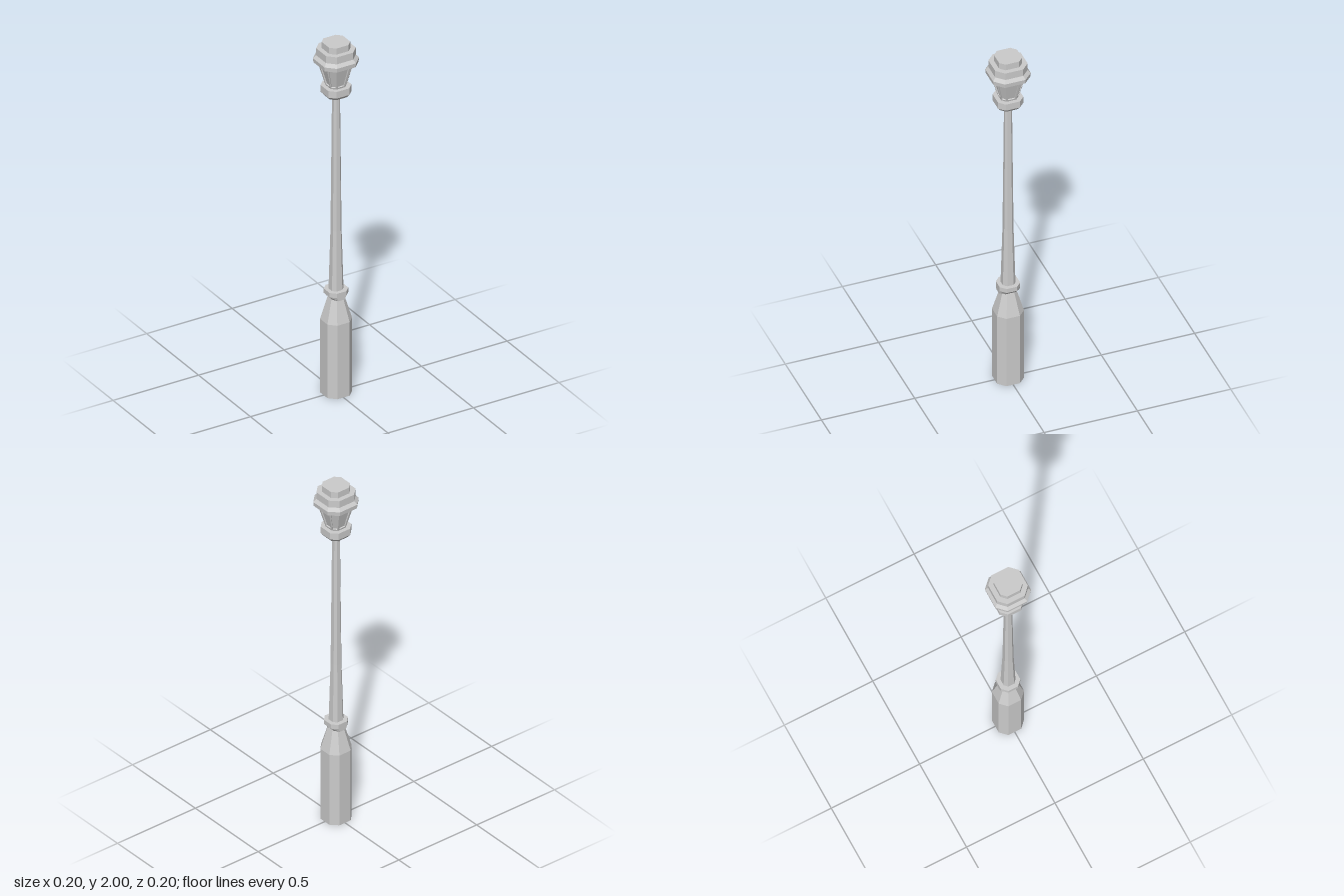
import * as THREE from 'three';

const material = new THREE.MeshStandardMaterial({ color: 0xcccccc, flatShading: true });

// Chamfered-square ring at height y: half widths wx / wz, c = flat share of each side
function ring([y, wx, wz = wx], c) {
  return [[1, -c], [1, c], [c, 1], [-c, 1], [-1, c], [-1, -c], [-c, -1], [c, -1]]
    .map(([x, z]) => new THREE.Vector3(x * wx, y, z * wz));
}

function quad(out, a, b, c, d) {
  out.push(a, d, c, a, c, b);
}

function meshFrom(points, name) {
  const geometry = new THREE.BufferGeometry().setFromPoints(points);
  geometry.computeVertexNormals();
  const mesh = new THREE.Mesh(geometry, material);
  mesh.name = name;
  return mesh;
}

// Closed eight-sided solid through a list of [y, halfX, halfZ] levels
function octSolid(name, levels, c) {
  const rings = levels.map((level) => ring(level, c));
  const out = [];
  for (let k = 0; k < rings.length - 1; k++) {
    for (let i = 0; i < 8; i++) {
      const j = (i + 1) % 8;
      quad(out, rings[k][i], rings[k][j], rings[k + 1][j], rings[k + 1][i]);
    }
  }
  const bottom = rings[0], top = rings[rings.length - 1];
  for (let i = 1; i < 7; i++) {
    out.push(bottom[0], bottom[i], bottom[i + 1]);
    out.push(top[0], top[i + 1], top[i]);
  }
  return meshFrom(out, name);
}

// Tapered lantern housing: every side is a frame around a recessed pane
function lanternHousing(low, high, c) {
  const a = ring(low, c), b = ring(high, c), out = [];
  for (let i = 0; i < 8; i++) {
    const j = (i + 1) % 8;
    const outer = [a[i], a[j], b[j], b[i]];
    const at = (u, v) => a[i].clone().lerp(a[j], u).lerp(b[i].clone().lerp(b[j], u), v);
    const opening = [at(0.16, 0.1), at(0.84, 0.1), at(0.84, 0.92), at(0.16, 0.92)];
    const inward = b[i].clone().sub(a[i]).cross(a[j].clone().sub(a[i])).normalize().multiplyScalar(-0.007);
    const pane = opening.map((p) => p.clone().add(inward));
    for (let k = 0; k < 4; k++) {
      const n = (k + 1) % 4;
      quad(out, outer[k], outer[n], opening[n], opening[k]);
      quad(out, opening[k], opening[n], pane[n], pane[k]);
    }
    quad(out, ...pane);
  }
  return meshFrom(out, 'lanternHousing');
}

export function createModel() {
  const group = new THREE.Group();
  group.name = 'streetLamp';
  group.add(
    octSolid('base', [[0, 0.072], [0.42, 0.072], [0.55, 0.037]], 0.5),
    // the collar's underside narrows only from left to right
    octSolid('collar', [[0.547, 0.037, 0.055], [0.567, 0.055], [0.592, 0.055]], 0.5),
    octSolid('shaft', [[0.58, 0.034], [0.93, 0.025], [1.71, 0.018]], 0.5),
    octSolid('lanternSeat', [[1.7, 0.055], [1.717, 0.068], [1.755, 0.068]], 0.55),
    lanternHousing([1.75, 0.045], [1.89, 0.082], 0.55),
    octSolid('roof', [[1.885, 0.099], [1.908, 0.101], [1.925, 0.087], [1.965, 0.087]], 0.55),
    octSolid('roofCap', [[1.96, 0.062], [2, 0.062]], 0.58),
  );
  return group;
}
